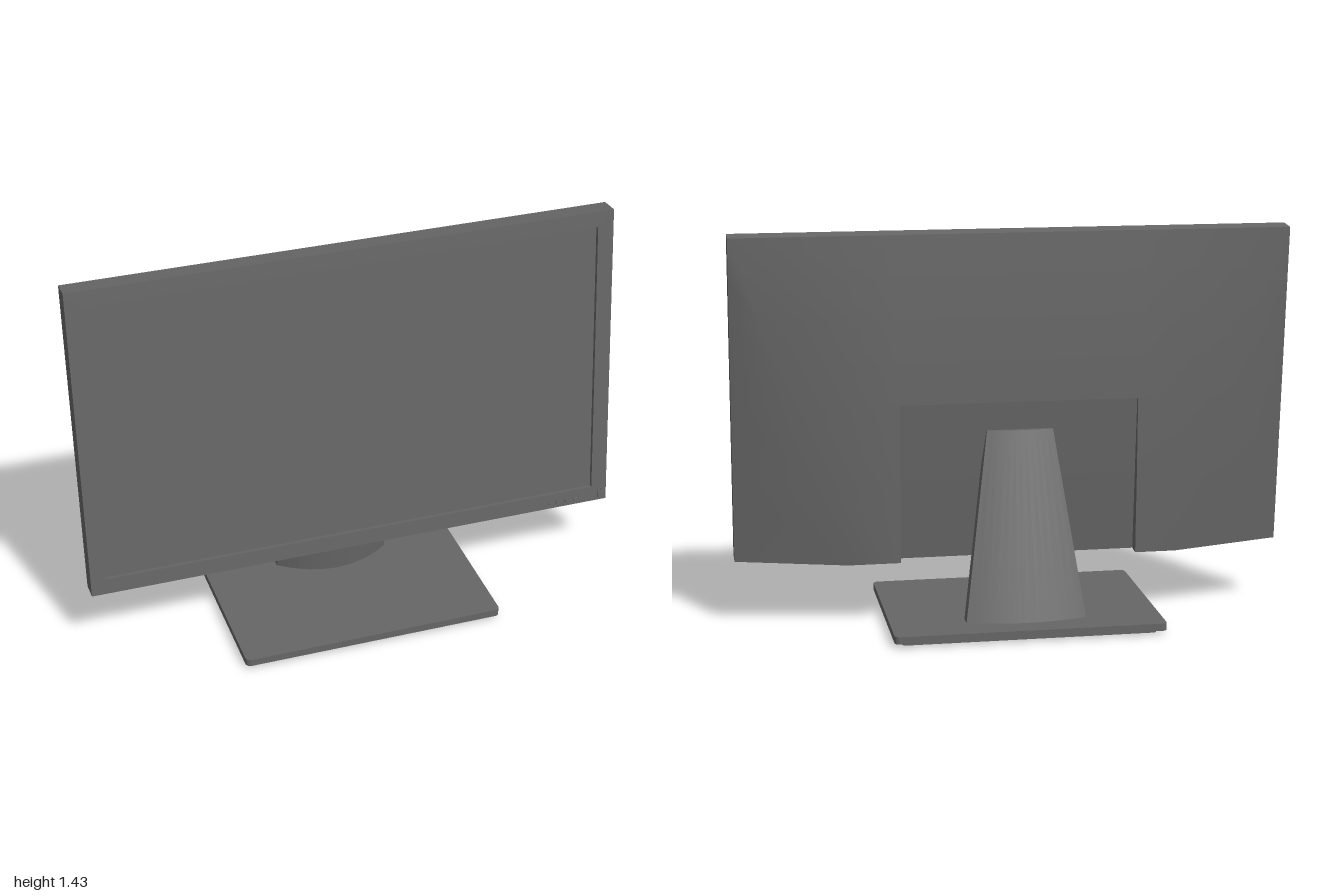
import * as THREE from 'three';
import { toCreasedNormals } from 'three/addons/utils/BufferGeometryUtils.js';

const grey = new THREE.MeshStandardMaterial({ color: 0x666666 });
grey.name = 'darkGrey';

const CX = -0.022; // centre line of the stand
const H = 1.18, T = 0.077; // frame height and thickness

function add(parent, name, geometry, x = 0, y = 0, z = 0) {
  const mesh = new THREE.Mesh(geometry, grey);
  mesh.name = name;
  mesh.position.set(x, y, z);
  parent.add(mesh);
  return mesh;
}

function fromIndexed(positions, index) {
  const g = new THREE.BufferGeometry();
  g.setAttribute('position', new THREE.Float32BufferAttribute(positions, 3));
  g.setIndex(index);
  return toCreasedNormals(g, 0.4);
}

// Flat slab with rounded corners, standing on y = 0
function slab(w, d, h, r) {
  const s = new THREE.Shape();
  const a = w / 2 - r, b = d / 2 - r;
  s.absarc(a, b, r, 0, Math.PI / 2);
  s.absarc(-a, b, r, Math.PI / 2, Math.PI);
  s.absarc(-a, -b, r, Math.PI, Math.PI * 1.5);
  s.absarc(a, -b, r, Math.PI * 1.5, Math.PI * 2);
  s.closePath();
  const g = new THREE.ExtrudeGeometry(s, { depth: h, bevelEnabled: false, curveSegments: 5 });
  return g.rotateX(-Math.PI / 2);
}

// Bezel with a rectangular opening
function frameGeometry() {
  const rect = (P, x0, y0, x1, y1) => new P([
    new THREE.Vector2(x0, y0), new THREE.Vector2(x1, y0),
    new THREE.Vector2(x1, y1), new THREE.Vector2(x0, y1)]);
  const s = rect(THREE.Shape, -1, 0, 1, H);
  s.holes.push(rect(THREE.Path, -0.945, 0.06, 0.94, H - 0.058));
  return new THREE.ExtrudeGeometry(s, { depth: T, bevelEnabled: false }).translate(0, 0, -T);
}

// Wedge-shaped back, deepest at the bottom, with a recess for the neck
function shellGeometry() {
  const rows = [[0], [0.12], [0.25], [0.38], [0.51], [0.51, 1], [0.75, 1], [1, 1], [1, 0, 1]];
  const pos = [], idx = [], n = 8;
  for (const [t, inside, closing] of rows) {
    const xi = 1 - 0.4 * t;
    const deep = closing ? 0 : 0.09 * t + 0.04 * t * (1 - t);
    const floor = inside ? 0.042 : deep;
    const xs = [-1, -xi, -0.45, -0.45, 0.41, 0.41, xi, 1];
    const ds = [0, deep, deep, floor, floor, deep, deep, 0];
    xs.forEach((x, i) => pos.push(x, H * (1 - t), -T - ds[i]));
  }
  for (let r = 0; r < rows.length - 1; r++) {
    for (let c = 0; c < n - 1; c++) {
      const a = r * n + c, d = a + n;
      idx.push(a, a + 1, d, a + 1, d + 1, d);
    }
  }
  return fromIndexed(pos, idx);
}

// Tapered neck: curved front and back joined by narrow flat sides
function neckGeometry() {
  const levels = [
    { y: 0.04, w: 0.217, front: -0.09, frontEnd: -0.175, backEnd: -0.228, back: -0.263 },
    { y: 0.71, w: 0.12, front: -0.04, frontEnd: -0.05, backEnd: -0.092, back: -0.102 },
  ];
  const seg = 12, pos = [], idx = [], n = 2 * (seg + 1);
  for (const l of levels) {
    for (const [dir, mid, end] of [[1, l.front, l.frontEnd], [-1, l.back, l.backEnd]]) {
      for (let i = 0; i <= seg; i++) {
        const u = 1 - 2 * i / seg;
        pos.push(dir * u * l.w, l.y, mid + (end - mid) * u * u);
      }
    }
  }
  for (let i = 0; i < n; i++) {
    const j = (i + 1) % n;
    idx.push(i, i + n, j, j, i + n, j + n);
    if (i > 0 && i < n - 1) idx.push(n, n + i + 1, n + i);
  }
  return fromIndexed(pos, idx);
}

export function createModel() {
  const model = new THREE.Group();
  model.name = 'monitor';

  // Stand
  const stand = new THREE.Group();
  stand.name = 'stand';
  model.add(stand);
  add(stand, 'baseFoot', slab(0.915, 0.64, 0.016, 0.015), CX, 0, 0);
  add(stand, 'basePlate', slab(0.976, 0.705, 0.027, 0.02), CX, 0.015, 0);
  add(stand, 'neck', neckGeometry(), CX);

  // Display, leaning slightly back
  const display = new THREE.Group();
  display.name = 'display';
  display.position.set(0, 0.25, 0.078);
  display.rotation.x = -0.089;
  model.add(display);
  add(display, 'bezel', frameGeometry());
  add(display, 'screen', new THREE.BoxGeometry(1.9, 1.08, 0.055), 0, H / 2, -0.0425);
  add(display, 'backShell', shellGeometry());

  // Controls on the lower right of the bezel
  for (let i = 0; i < 4; i++) {
    add(display, 'menuButton', new THREE.BoxGeometry(0.024, 0.008, 0.008), 0.775 + i * 0.034, 0.022, 0.001);
  }
  add(display, 'powerButton', new THREE.BoxGeometry(0.02, 0.024, 0.008), 0.975, 0.024, 0);
  add(display, 'powerLight', new THREE.BoxGeometry(0.008, 0.006, 0.006), 0.98, 0.046, 0);
  return model;
}
